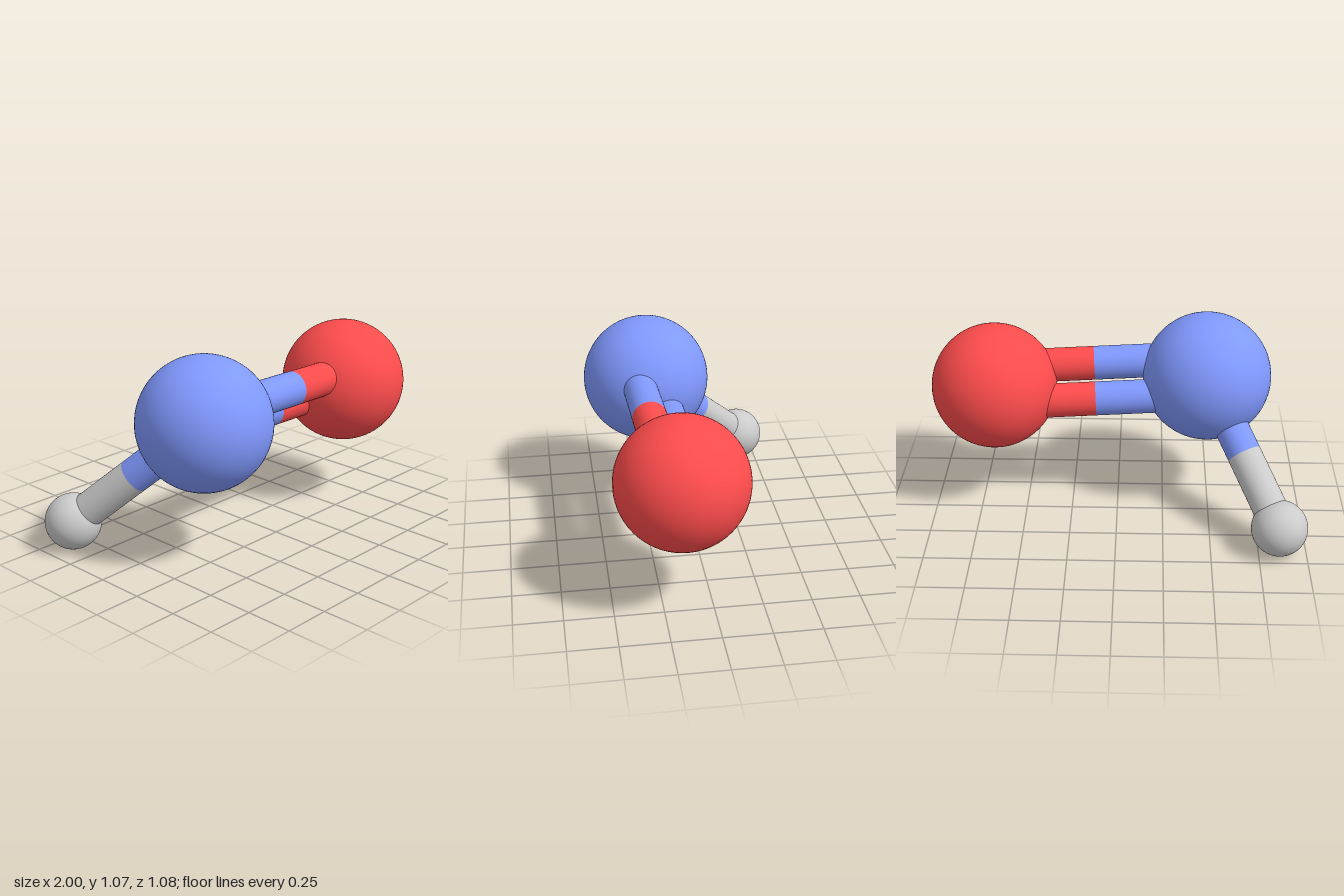
import * as THREE from 'three';

const V = (x, y, z) => new THREE.Vector3(x, y, z);
const material = (color) => new THREE.MeshStandardMaterial({ color });

export function createModel() {
  const model = new THREE.Group();
  const blue = material(0x8099ff);
  const red = material(0xff4c4c);
  const grey = material(0xcccccc);

  const nitrogen = { name: 'nitrogenAtom', pos: V(-0.477, 0.729, 0.195), radius: 0.344, mat: blue };
  const oxygen = { name: 'oxygenAtom', pos: V(0.664, 0.681, 0.147), radius: 0.336, mat: red };
  const hydrogen = { name: 'hydrogenAtom', pos: V(-0.853, 0.147, -0.393), radius: 0.147, mat: grey };

  // Atoms: smooth spheres
  for (const { name, pos, radius, mat } of [nitrogen, oxygen, hydrogen]) {
    const atom = new THREE.Mesh(new THREE.SphereGeometry(radius, 64, 40), mat);
    atom.name = name;
    atom.position.copy(pos);
    model.add(atom);
  }

  // One plain rod between two points
  function rod(name, start, end, mat) {
    const axis = end.clone().sub(start);
    const mesh = new THREE.Mesh(new THREE.CylinderGeometry(0.091, 0.091, axis.length(), 40), mat);
    mesh.name = name;
    mesh.position.copy(start).lerp(end, 0.5);
    mesh.quaternion.setFromUnitVectors(V(0, 1, 0), axis.normalize());
    return mesh;
  }

  // A bond is two rods, each in the colour of its atom
  function addBond(name, a, b, offset = V(0, 0, 0)) {
    const start = a.pos.clone().add(offset);
    const end = b.pos.clone().add(offset);
    const split = start.clone().lerp(end, 0.526);
    const bond = new THREE.Group();
    bond.name = name;
    bond.add(rod('nearHalf', start, split, a.mat), rod('farHalf', split, end, b.mat));
    model.add(bond);
  }

  // Double bond, spread sideways within the plane of the three atoms
  const side = V(0.006, 0.071, 0.071);
  addBond('upperDoubleBond', nitrogen, oxygen, side);
  addBond('lowerDoubleBond', nitrogen, oxygen, side.clone().negate());

  // Single bond
  addBond('singleBond', nitrogen, hydrogen);

  return model;
}
